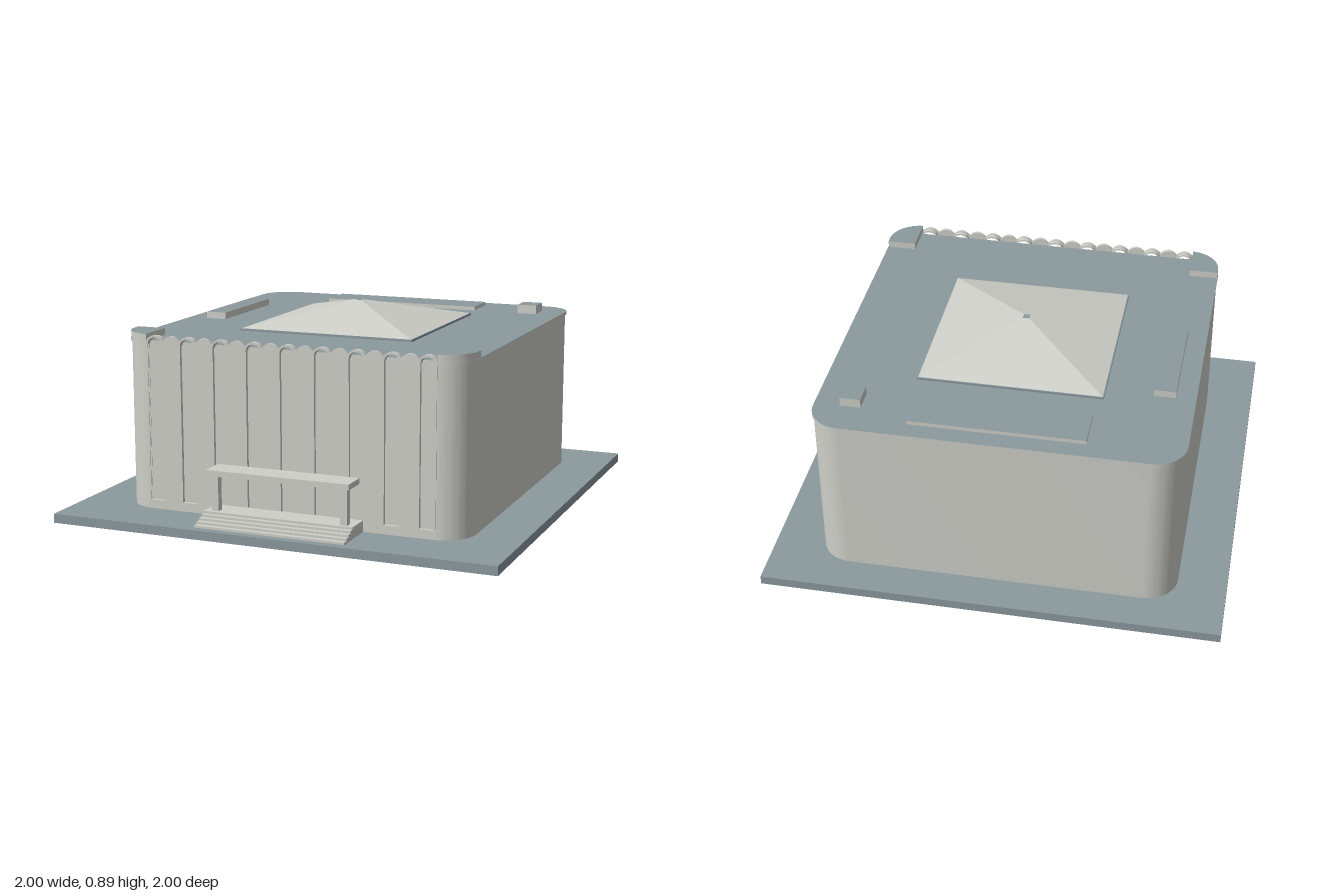
import * as THREE from 'three';
import { toCreasedNormals } from 'three/addons/utils/BufferGeometryUtils.js';

export function createModel() {
  const model = new THREE.Group();
  const wall = new THREE.MeshStandardMaterial({ color: 0xcfcfc9 });
  wall.name = 'pale stone';
  const slate = new THREE.MeshStandardMaterial({ color: 0x8b999e });
  slate.name = 'slate grey';

  const add = (name, geometry, material) => {
    const mesh = new THREE.Mesh(geometry, material);
    mesh.name = name;
    model.add(mesh);
    return mesh;
  };
  // Box given by its minimum and maximum on each axis
  const box = (name, x0, x1, y0, y1, z0, z1, material) => {
    const g = new THREE.BoxGeometry(x1 - x0, y1 - y0, z1 - z0);
    g.translate((x0 + x1) / 2, (y0 + y1) / 2, (z0 + z1) / 2);
    return add(name, g, material);
  };
  const slateTop = [wall, wall, slate, wall, wall, wall];
  // Plan outline (drawn with y = -z) raised from y0 to y1
  const raise = (name, shape, y0, y1, material) => {
    const g = new THREE.ExtrudeGeometry(shape, { depth: y1 - y0, bevelEnabled: false, curveSegments: 12 });
    g.rotateX(-Math.PI / 2).translate(0, y0, 0);
    return add(name, toCreasedNormals(g, 0.5), material);
  };
  // Elevation outline extruded from z0 to z1
  const panel = (name, shape, z0, z1) => {
    const g = new THREE.ExtrudeGeometry(shape, { depth: z1 - z0, bevelEnabled: false, curveSegments: 10 });
    g.translate(0, 0, z0);
    return add(name, toCreasedNormals(g, 0.5), wall);
  };

  // Building plan with rounded corners and a recessed middle of the front
  const plan = (w, back, front, recess) => {
    const r = 0.14, s = new THREE.Shape();
    s.moveTo(-0.66, -recess);
    s.lineTo(-0.66, -front);
    s.lineTo(-w + r, -front);
    s.absarc(-w + r, -front + r, r, -Math.PI / 2, -Math.PI, true);
    s.absarc(-w + r, back - r, r, Math.PI, Math.PI / 2, true);
    s.absarc(w - r, back - r, r, Math.PI / 2, 0, true);
    s.absarc(w - r, -front + r, r, 0, -Math.PI / 2, true);
    s.lineTo(0.66, -front);
    s.lineTo(0.66, -recess);
    return s;
  };

  box('ground slab', -1, 1, 0, 0.04, -1, 1, slate);
  raise('building walls', plan(0.787, 0.835, 0.757, 0.735), 0.04, 0.765, wall);
  raise('roof deck', plan(0.792, 0.84, 0.76, 0.735), 0.765, 0.78, [slate, wall]);

  // Raised blocks on the two front corners
  for (const side of [-1, 1]) {
    const s = new THREE.Shape();
    s.moveTo(side * 0.66, -0.59);
    s.lineTo(side * 0.79, -0.59);
    s.lineTo(side * 0.79, -0.62);
    s.absarc(side * 0.65, -0.62, 0.14, side > 0 ? 0 : Math.PI, -Math.PI / 2 + side * 0.07, side > 0);
    s.lineTo(side * 0.66, -0.76);
    raise('corner parapet', s, 0.78, 0.81, [slate, wall]);
  }

  // Scalloped facade screen with nine arched slots
  const pitch = 0.0775, edge = 8.5 * pitch;
  const facade = new THREE.Shape();
  facade.moveTo(-edge, 0.06);
  facade.lineTo(edge, 0.06);
  facade.lineTo(edge, 0.785);
  for (let i = 8; i >= -8; i--) {
    facade.quadraticCurveTo(i * pitch, 0.829, (i - 0.5) * pitch, 0.785);
  }
  for (let i = -8; i <= 8; i += 2) {
    const x = i * pitch, h = 0.0325;
    const slot = new THREE.Path();
    slot.moveTo(x - h, 0.08);
    slot.lineTo(x - h, 0.768);
    slot.absellipse(x, 0.768, h, 0.029, Math.PI, 0, true);
    slot.lineTo(x + h, 0.08);
    facade.holes.push(slot);

    // Arched hood behind the head of the slot
    const hood = new THREE.Shape();
    hood.moveTo(x + 0.038, 0.768);
    hood.absellipse(x, 0.768, 0.038, 0.036, 0, Math.PI, false);
    hood.lineTo(x - h, 0.768);
    hood.absellipse(x, 0.768, h, 0.029, Math.PI, 0, true);
    panel('arch hood', hood, 0.727, 0.746);
  }
  panel('facade screen', facade, 0.745, 0.76);
  box('facade plinth', -0.66, 0.66, 0.04, 0.06, 0.73, 0.757, wall);

  // Skylight pyramid with a small flat cap
  box('skylight curb', -0.405, 0.405, 0.78, 0.79, -0.445, 0.365, slate);
  const pyramid = new THREE.CylinderGeometry(0.014 * Math.SQRT2, 0.4 * Math.SQRT2, 0.097, 4, 1, true).toNonIndexed();
  pyramid.rotateY(Math.PI / 4).translate(0, 0.8385, -0.04);
  pyramid.computeVertexNormals();
  add('skylight pyramid', pyramid, wall);
  box('skylight cap', -0.014, 0.014, 0.882, 0.888, -0.054, -0.026, slate);

  // Rooftop units
  box('rear roof unit', -0.38, 0.375, 0.78, 0.797, -0.76, -0.585, slateTop);
  box('side roof unit', -0.705, -0.61, 0.78, 0.81, -0.38, 0.1, slateTop);
  box('small roof unit', 0.59, 0.68, 0.78, 0.82, -0.685, -0.585, slateTop);

  // Entrance steps, posts and canopy
  for (let i = 0; i < 5; i++) {
    box('entrance step', -0.34, 0.34, 0.04 + i * 0.01, 0.05 + i * 0.01, 0.757, 0.962 - i * 0.022, wall);
  }
  for (const side of [-1, 1]) {
    const x = side * 0.294;
    box('canopy post', x - 0.016, x + 0.016, 0.09, 0.245, 0.825, 0.857, wall);
  }
  box('entrance canopy', -0.325, 0.325, 0.245, 0.27, 0.76, 0.877, wall);

  return model;
}
